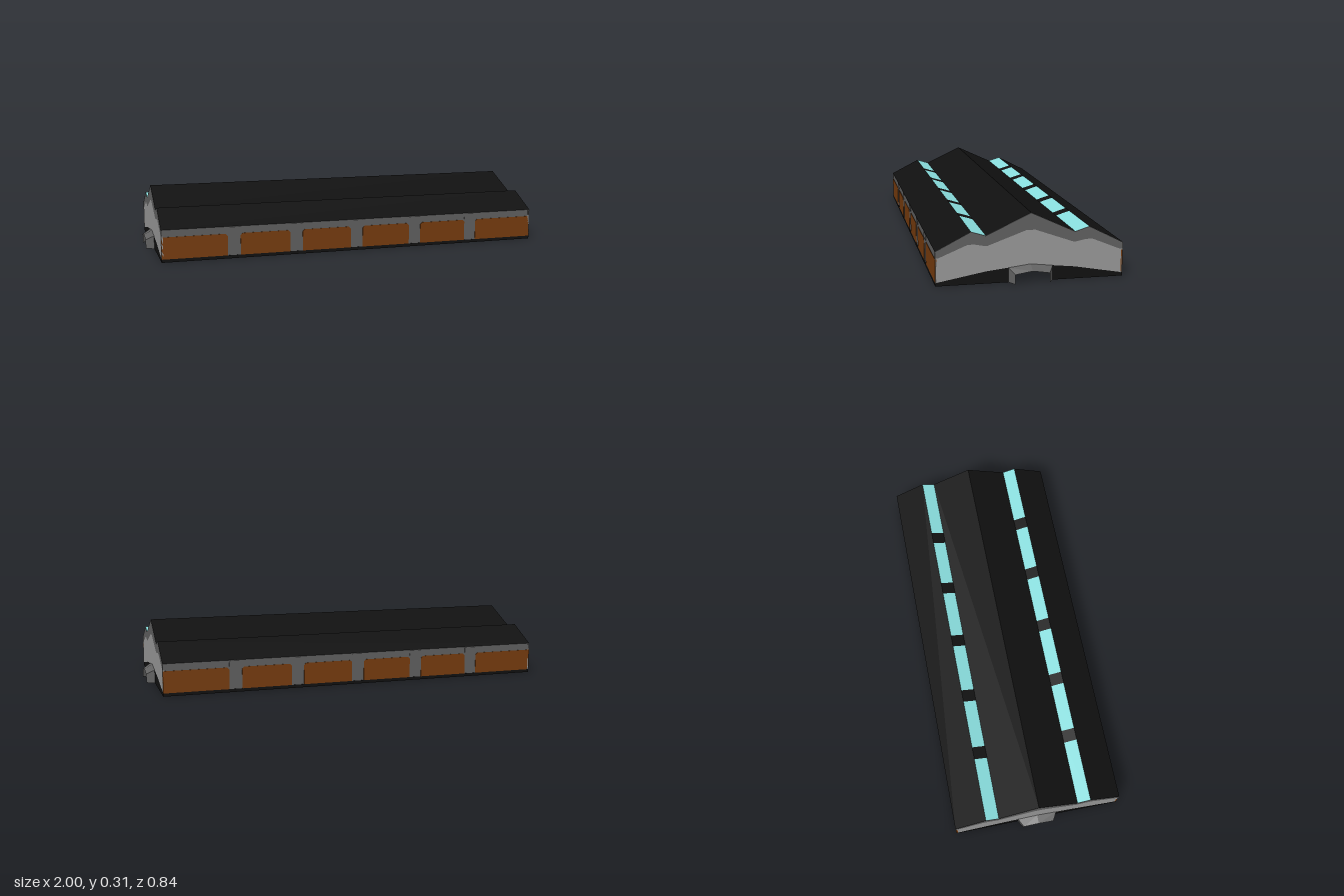
import * as THREE from 'three';

const mat = (name, color, side = THREE.DoubleSide) => {
  const m = new THREE.MeshStandardMaterial({ color, side });
  m.name = name;
  return m;
};

export function createModel() {
  const black = mat('roofBlack', 0x101010);
  const darkGray = mat('frameGray', 0x606060);
  const lightGray = mat('endWallGray', 0x989898);
  const brown = mat('panelBrown', 0x773c0e);
  const cyan = mat('skylightCyan', 0x8ae0e0);
  const group = new THREE.Group();

  const add = (name, geometry, material) => {
    const mesh = new THREE.Mesh(geometry, material);
    mesh.name = name;
    group.add(mesh);
    return mesh;
  };

  // half profiles as [z, y], listed from the eave to the centre line
  const X = 0.96, Z = 0.422;
  const roofLine = [[Z, 0.155], [0.265, 0.235], [0.2, 0.215], [0, 0.308]];
  const ribLine = [[Z, 0.125], [0.408, 0.125], [0.28, 0.178], [0.25, 0.178], [0.2, 0.168], [0.19, 0.17], [0.02, 0.231], [0, 0.231]];
  const archLine = [[Z, 0.015], [0.2, 0.055], [0.1, 0.066], [0, 0.078]];
  const full = (half) => [...half, ...half.slice(0, -1).reverse().map(([z, y]) => [-z, y])];
  const lower = (line, d) => line.map(([z, y]) => [z, y - d]);

  // extruded cross-section plate, facing along x and centred on x
  const section = (points, x, thick) => {
    const shape = new THREE.Shape(points.map(([z, y]) => new THREE.Vector2(-z, y)));
    return new THREE.ExtrudeGeometry(shape, { depth: thick, bevelEnabled: false })
      .rotateY(Math.PI / 2).translate(x - thick / 2, 0, 0);
  };
  const band = (top, bottom, x, thick) => section([...full(top), ...full(bottom).reverse()], x, thick);

  // flat-shaded open surface between two rows of points
  const strip = (a, b) => {
    const pos = [];
    for (let i = 0; i < a.length - 1; i++)
      pos.push(...a[i], ...b[i], ...b[i + 1], ...a[i], ...b[i + 1], ...a[i + 1]);
    const g = new THREE.BufferGeometry();
    g.setAttribute('position', new THREE.Float32BufferAttribute(pos, 3));
    g.computeVertexNormals();
    return g;
  };
  const roofStrip = (line, x0, x1) => strip(line.map(([z, y]) => [x0, y, z]), line.map(([z, y]) => [x1, y, z]));

  // bays and the ribs between them
  const ribs = [-0.616, -0.309, 0, 0.309, 0.616];
  const ribHalf = 0.031;
  const bays = [-X, ...ribs].map((left, i) => [
    i === 0 ? -X : left + ribHalf,
    i === 5 ? X : ribs[i] - ribHalf,
  ]);

  // roof slopes
  add('ridgeRoof', roofStrip([[0.2, 0.215], [0, 0.308], [-0.2, 0.215]], -X, X), black);
  for (const s of [1, -1]) {
    const flip = (line) => line.map(([z, y]) => [z * s, y]);
    add('eaveRoof', roofStrip(flip(roofLine.slice(0, 2)), -X, X), black);
    const slope = flip(roofLine.slice(1, 3));
    bays.forEach(([a, b]) => add('skylight', roofStrip(slope, a, b), cyan));
    ribs.forEach((x) => add('skylightDivider', roofStrip(slope, x - ribHalf, x + ribHalf), black));

    // long wall with infill panels and a dark plinth
    add('longWall', new THREE.BoxGeometry(2 * X, 0.14, 0.004), darkGray).position.set(0, 0.085, s * (Z - 0.004));
    add('plinth', new THREE.BoxGeometry(2 * X, 0.015, 0.008), black).position.set(0, 0.0075, s * (Z - 0.004));
    bays.forEach(([a, b], i) => {
      const c = 0.01, top = 0.12;
      const cl = i === 0 ? 0 : c, cr = i === 5 ? 0 : c;
      const shape = new THREE.Shape([
        [a, 0.015], [b, 0.015], [b, top - cr], [b - cr, top], [a + cl, top], [a, top - cl],
      ].map((p) => new THREE.Vector2(...p)));
      const g = new THREE.ExtrudeGeometry(shape, { depth: 0.008, bevelEnabled: false });
      add('wallPanel', g, brown).position.z = s * (Z - 0.004) - 0.004;
    });
  }

  // inner roof ribs
  ribs.forEach((x) => add('roofRib', band(lower(roofLine, 0.003), ribLine, x, 2 * ribHalf), darkGray));

  // end walls, gable rims, foundations and entrance hoods
  for (const s of [1, -1]) {
    const x = s * (X - 0.004);
    add('gableRim', band(lower(roofLine, 0.001), ribLine, x, 0.008), darkGray);
    add('endWall', band(ribLine, archLine, x, 0.008), lightGray);
    for (const side of [1, -1]) {
      const base = [[Z, 0], [Z, 0.015], [0.2, 0.055], [0.1, 0.066], [0.1, 0]];
      add('endFoundation', section(base.map(([z, y]) => [z * side, y]), x, 0.008), black);
    }
    const wide = full([[0.1, 0], [0.1, 0.066], [0, 0.078]]);
    const narrow = full([[0.077, 0], [0.077, 0.044], [0, 0.056]]);
    add('entranceHood', strip(wide.map(([z, y]) => [s * X, y, z]), narrow.map(([z, y]) => [s, y, z])), darkGray);
  }
  return group;
}
